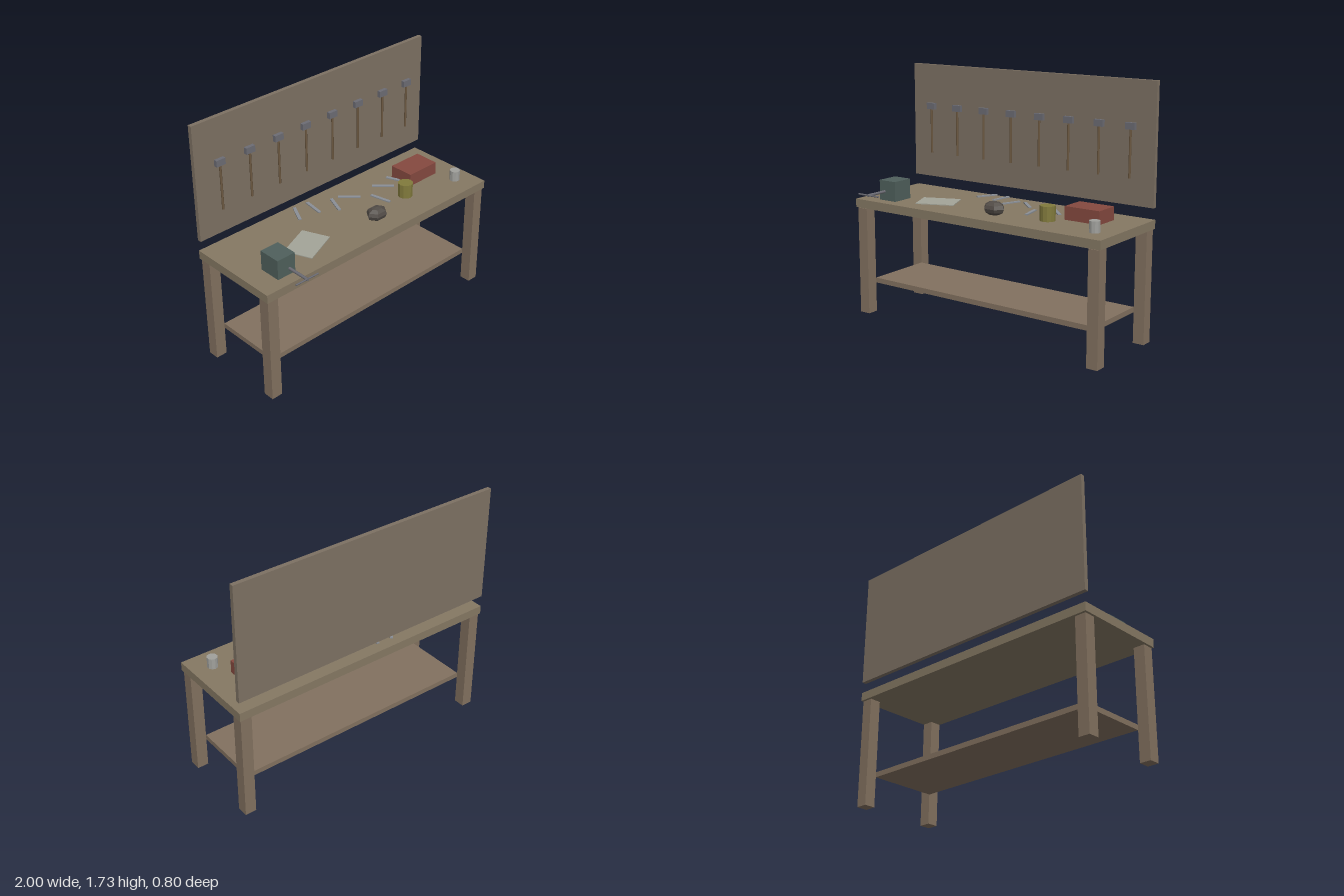
import * as THREE from 'three';

const material = (color, flatShading = false) => new THREE.MeshStandardMaterial({ color, flatShading });

export function createModel() {
  const model = new THREE.Group();
  model.name = 'workbench';

  const wood = material(0x857863);
  const legWood = material(0x82715f);
  const boardWood = material(0x7d7163);
  const handleWood = material(0x6e5a42);
  const steel = material(0x6c6c74);
  const brightSteel = material(0x8a8f96);
  const viseGreen = material(0x4f605c);

  const add = (name, geometry, mat, x, y, z, parent = model) => {
    const mesh = new THREE.Mesh(geometry, mat);
    mesh.name = name;
    mesh.position.set(x, y, z);
    parent.add(mesh);
    return mesh;
  };
  const box = (name, w, h, d, mat, x, y, z, parent) =>
    add(name, new THREE.BoxGeometry(w, h, d), mat, x, y, z, parent);
  const rod = (name, r, h, sides, mat, x, y, z, parent) =>
    add(name, new THREE.CylinderGeometry(r, r, h, sides), mat, x, y, z, parent);

  // Bench frame
  box('benchTop', 2, 0.06, 0.68, wood, 0, 0.8, -0.06);
  for (const x of [-0.95, 0.95])
    for (const z of [0.23, -0.35]) box('leg', 0.08, 0.765, 0.08, legWood, x, 0.3825, z);
  box('lowerShelf', 1.82, 0.036, 0.5, legWood, 0, 0.23, -0.06);

  // Tool board floating behind the bench, with a row of hammers
  box('toolBoard', 2, 0.82, 0.03, boardWood, 0, 1.32, -0.385);
  for (let i = 0; i < 8; i++) {
    const hammer = new THREE.Group();
    hammer.name = 'hammer';
    hammer.position.set(-0.823 + i * 0.2362, 0, -0.347);
    rod('hammerHandle', 0.008, 0.32, 6, handleWood, 0, 1.25, 0, hammer);
    box('hammerHead', 0.07, 0.045, 0.026, steel, 0, 1.432, 0, hammer);
    model.add(hammer);
  }

  // Vise: block, screw and crossbar
  const vise = new THREE.Group();
  vise.name = 'vise';
  model.add(vise);
  box('viseBody', 0.14, 0.14, 0.16, viseGreen, -0.775, 0.9, 0.12, vise);
  rod('viseScrew', 0.01, 0.17, 8, steel, -0.775, 0.9, 0.313, vise).rotation.x = Math.PI / 2;
  rod('viseCrossbar', 0.006, 0.18, 6, steel, -0.775, 0.9, 0.391, vise).rotation.z = Math.PI / 2;

  // Sheet of paper
  box('paperSheet', 0.27, 0.006, 0.2, material(0xa3a498), -0.457, 0.836, 0.03).rotation.y = 0.4;

  // Scattered flat wrenches: x, z, turn
  const wrenches = [
    [-0.27, -0.28, 1.1], [-0.137, -0.265, 1.43], [-0.003, -0.19, 1.2], [0.134, -0.2, -0.76],
    [0.275, -0.035, -1.37], [0.408, -0.145, -0.76], [0.538, -0.14, -1.2],
  ];
  for (const [x, z, turn] of wrenches)
    box('wrench', 0.155, 0.008, 0.022, brightSteel, x, 0.848, z).rotation.y = turn;

  // Red toolbox, paint tin, small can
  box('toolbox', 0.26, 0.09, 0.18, material(0x85493f), 0.68, 0.885, -0.108);
  rod('paintTin', 0.052, 0.1, 12, material(0x817a3c, true), 0.452, 0.88, 0.03);
  rod('smallCan', 0.036, 0.075, 10, material(0xa0a09c, true), 0.861, 0.868, 0.12);

  // Faceted lump of rag
  const rag = add('rag', new THREE.SphereGeometry(1, 6, 6), material(0x524c47, true), 0.088, 0.878, 0.117);
  rag.scale.set(0.08, 0.048, 0.064);

  return model;
}
